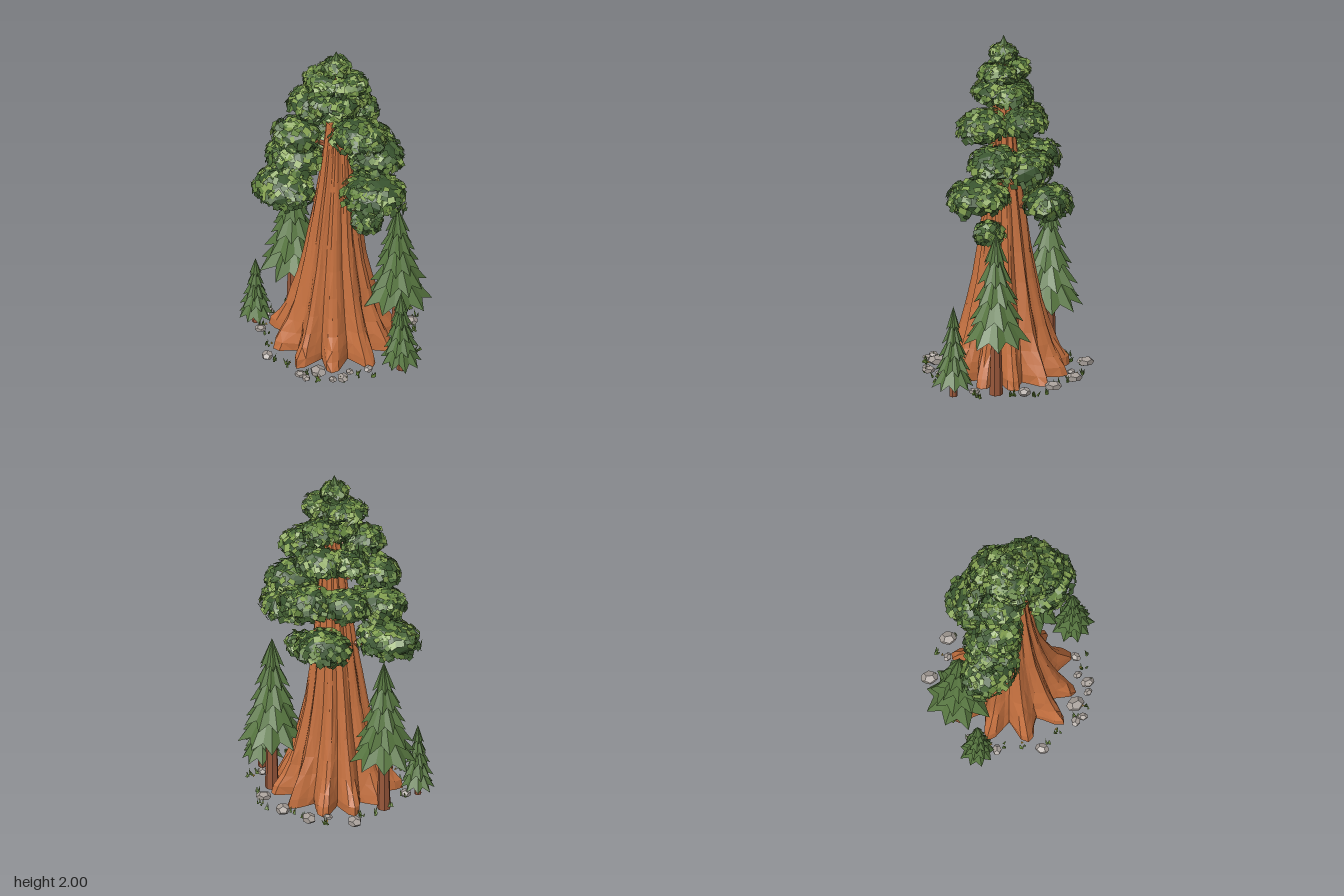
import * as THREE from 'three';
import { mergeGeometries } from 'three/addons/utils/BufferGeometryUtils.js';

// Small seeded random helper
let seed = 7;
const rnd = (a = 0, b = 1) => {
  seed = (seed * 16807) % 2147483647;
  return a + (b - a) * (seed / 2147483647);
};

const mat = (color, side = THREE.FrontSide) =>
  new THREE.MeshStandardMaterial({ color, side, flatShading: true, roughness: 1 });
const M = {
  bark: mat(0xc4703f), branch: mat(0x9a5532), under: mat(0x6e3d28),
  core: mat(0x3a5530), leafDark: mat(0x466335, THREE.DoubleSide),
  leafMid: mat(0x64843f, THREE.DoubleSide), leafLight: mat(0x86a352, THREE.DoubleSide),
  pine: mat(0x56753f, THREE.DoubleSide), pineTrunk: mat(0x98573a),
  rock: mat(0xa59d97), grass: mat(0x648238, THREE.DoubleSide), litter: mat(0xc49a35, THREE.DoubleSide),
};

function add(parent, name, geometry, material) {
  const mesh = new THREE.Mesh(geometry, material);
  mesh.name = name;
  parent.add(mesh);
  return mesh;
}

// Root flares: angle in degrees (x towards z) and reach at the ground
const ROOTS = [[28, 0.37], [66, 0.36], [97, 0.39], [131, 0.385], [166, 0.38], [198, 0.37],
  [232, 0.39], [260, 0.38], [293, 0.375], [325, 0.36], [356, 0.35]];
// Trunk profile: height, radius, groove depth (share of the radius)
const TRUNK = [[0.02, 1, 0.34], [0.07, 0.96, 0.31], [0.13, 0.86, 0.26], [0.2, 0.76, 0.22], [0.3, 0.665, 0.18],
  [0.42, 0.58, 0.16], [0.58, 0.485, 0.15], [0.75, 0.41, 0.14], [0.92, 0.35, 0.14], [1.1, 0.285, 0.13],
  [1.28, 0.235, 0.12], [1.46, 0.19, 0.12], [1.64, 0.14, 0.1], [1.8, 0.085, 0.1], [1.94, 0.02, 0]];
const trunkX = (y) => -0.012 - 0.008 * Math.sin(y * 3);

function trunk(group) {
  const STEPS = 6, n = ROOTS.length * STEPS, pos = [], idx = [];
  const rib = Array.from({ length: n }, () => rnd(0.97, 1.02));
  TRUNK.forEach(([y, s, groove]) => {
    for (let j = 0; j < n; j++) {
      const i = Math.floor(j / STEPS), t = (j % STEPS) / STEPS;
      const [a0, r0] = ROOTS[i], [a1, r1] = ROOTS[(i + 1) % ROOTS.length];
      const a = THREE.MathUtils.degToRad(a0 + ((a1 - a0 + 360) % 360) * t);
      const reach = THREE.MathUtils.lerp(0.37, r0 + (r1 - r0) * t, s);
      const valley = Math.sin(Math.PI * t) ** 2.4;
      const r = reach * s * (1 - groove * valley) * rib[j] * rnd(0.97, 1.02);
      pos.push(trunkX(y) + r * Math.cos(a), y, r * Math.sin(a));
    }
  });
  for (let k = 0; k < TRUNK.length - 1; k++) for (let j = 0; j < n; j++) {
    const a = k * n + j, b = k * n + ((j + 1) % n);
    if ((j + k) % 2) idx.push(b, a, a + n, b, a + n, b + n);
    else idx.push(b, a, b + n, a, a + n, b + n);
  }
  const g = new THREE.BufferGeometry();
  g.setAttribute('position', new THREE.Float32BufferAttribute(pos, 3));
  g.setIndex(idx);
  g.computeVertexNormals();
  add(group, 'giantTrunk', g, M.bark);

  // Star-shaped underside
  const base = new THREE.BufferGeometry(), fan = [];
  base.setAttribute('position', new THREE.Float32BufferAttribute([...pos.slice(0, n * 3), trunkX(0), 0.02, 0], 3));
  for (let j = 0; j < n; j++) fan.push(n, j, (j + 1) % n);
  base.setIndex(fan);
  base.computeVertexNormals();
  add(group, 'trunkUnderside', base, M.under);
}

// Ellipsoid core with leaf cards laid over it, sorted into three greens
function clump(group, [x, y, z, rx, ry, rz]) {
  const c = new THREE.Group();
  c.name = 'foliageClump';
  c.position.set(x, y, z);
  const core = new THREE.IcosahedronGeometry(0.9, 1).rotateY(rnd(0, 3)).scale(rx, ry, rz);
  core.computeVertexNormals();
  add(c, 'foliageCore', core, M.core);

  const sets = [[], [], []], o = new THREE.Object3D();
  const count = Math.round(80 + 4600 * rx * rz);
  for (let i = 0; i < count; i++) {
    const h = rnd(-0.5, 1), a = rnd(0, Math.PI * 2), q = Math.sqrt(1 - h * h), k = rnd(0.9, 1.03);
    const d = new THREE.Vector3(q * Math.cos(a), h, q * Math.sin(a));
    o.position.set(d.x * rx * k, d.y * ry * k, d.z * rz * k);
    // Leaves on the rim droop a little
    if (Math.abs(h) < 0.3) o.position.y -= rnd(0, 0.3) * ry;
    const nrm = new THREE.Vector3(d.x / rx, d.y / ry, d.z / rz).normalize();
    nrm.add(new THREE.Vector3(rnd(-0.5, 0.5), rnd(-0.2, 0.6), rnd(-0.5, 0.5)));
    o.lookAt(nrm.add(o.position));
    o.rotateZ(rnd(0, 3));
    o.updateMatrix();
    const leaf = new THREE.PlaneGeometry(rnd(0.024, 0.042), rnd(0.03, 0.05)).applyMatrix4(o.matrix);
    sets[h < -0.1 ? 0 : Math.floor(rnd(0, 2.99))].push(leaf);
  }
  [M.leafDark, M.leafMid, M.leafLight].forEach((m, i) => add(c, 'leaves', mergeGeometries(sets[i]), m));
  group.add(c);

  // Branch from the trunk to the clump
  const from = new THREE.Vector3(trunkX(y), y - 0.06, 0), to = new THREE.Vector3(x, y - 0.01, z);
  const len = from.distanceTo(to);
  const br = new THREE.CylinderGeometry(0.008, 0.022, len, 6).translate(0, len / 2, 0);
  const branch = add(group, 'branch', br, M.branch);
  branch.position.copy(from);
  branch.quaternion.setFromUnitVectors(new THREE.Vector3(0, 1, 0), to.sub(from).normalize());
}

// Cone with a jagged, drooping hem
function skirt(r, h, points) {
  const g = new THREE.ConeGeometry(r, h, points * 2, 1), p = g.attributes.position;
  const reach = Array.from({ length: points * 2 }, () => rnd(0.92, 1.06));
  for (let i = 0; i < p.count; i++) {
    const x = p.getX(i), z = p.getZ(i), y = p.getY(i);
    if (y > 0) continue;
    if (Math.hypot(x, z) < 1e-4) { p.setY(i, y + h * 0.3); continue; }
    const step = Math.round((Math.atan2(x, z) / Math.PI) * points + points * 2) % (points * 2);
    const k = reach[step] * (step % 2 ? 0.72 : 1);
    p.setXYZ(i, x * k, y + (step % 2 ? h * 0.16 : 0), z * k);
  }
  g.computeVertexNormals();
  return g;
}

function pine(group, x, z, bottom, top, r, tiers) {
  const t = new THREE.Group();
  t.name = 'youngPine';
  t.position.set(x, 0, z);
  const th = bottom + (top - bottom) * 0.6;
  add(t, 'pineTrunk', new THREE.CylinderGeometry(r * 0.1, r * 0.2, th, 7).translate(0, th / 2, 0), M.pineTrunk);
  const H = top - bottom, cones = [];
  for (let i = 0; i < tiers; i++) {
    const f = i / (tiers - 1), h = H * (0.42 - 0.14 * f);
    const y0 = bottom + (H - H * 0.28) * f;
    cones.push(skirt(r * (1 - 0.66 * f), h, 9).rotateY(i * 0.9).translate(0, y0 + h / 2, 0));
  }
  add(t, 'pineNeedles', mergeGeometries(cones), M.pine);
  group.add(t);
}

export function createModel() {
  seed = 7;
  const root = new THREE.Group();
  root.name = 'giantTree';
  trunk(root);

  // Foliage clumps: centre x, y, z and radii x, y, z
  [[-0.31, 0.975, 0.06, 0.185, 0.11, 0.145], [-0.25, 1.21, 0.03, 0.17, 0.095, 0.15],
    [-0.23, 1.39, 0.07, 0.14, 0.09, 0.12], [-0.17, 1.605, 0.03, 0.125, 0.075, 0.12],
    [-0.13, 1.5, -0.08, 0.11, 0.075, 0.11], [0.15, 1.5, 0.05, 0.165, 0.1, 0.135],
    [0.21, 1.325, -0.05, 0.155, 0.095, 0.145], [0.24, 1.12, 0.03, 0.19, 0.1, 0.17],
    [0.17, 0.885, 0, 0.095, 0.07, 0.08], [-0.04, 1.04, -0.26, 0.16, 0.1, 0.13],
    [0.08, 1.27, -0.2, 0.17, 0.1, 0.13], [-0.14, 1.27, -0.16, 0.13, 0.09, 0.12],
    [0.02, 1.52, -0.15, 0.14, 0.085, 0.115], [-0.01, 1.67, 0.02, 0.15, 0.07, 0.155],
    [0.03, 1.67, -0.08, 0.11, 0.07, 0.11], [-0.07, 1.785, 0, 0.135, 0.055, 0.12],
    [0.07, 1.8, 0, 0.09, 0.055, 0.11], [-0.013, 1.895, 0, 0.075, 0.05, 0.075],
  ].forEach((c) => clump(root, c));

  // Pointed crown
  const crown = add(root, 'crownTip', skirt(0.05, 0.11, 6), M.pine);
  crown.position.set(-0.015, 1.945, 0);

  // Smaller trees on both sides
  pine(root, -0.35, -0.12, 0.31, 0.93, 0.195, 5);
  pine(root, 0.312, -0.11, 0.31, 0.95, 0.195, 5);
  pine(root, -0.475, 0.09, 0.05, 0.44, 0.1, 5);
  pine(root, 0.44, 0.09, 0.06, 0.53, 0.12, 5);

  // Stones round the roots: x, z, size
  [[-0.27, -0.38, 0.045], [-0.02, -0.43, 0.045], [0.15, -0.385, 0.045], [0.3, -0.28, 0.04], [-0.11, -0.37, 0.025],
    [0.3, 0.21, 0.028], [0.22, 0.28, 0.024], [0.215, 0.35, 0.036], [0.17, 0.385, 0.024], [0.07, 0.37, 0.048],
    [-0.01, 0.43, 0.03], [0.035, 0.445, 0.026], [-0.25, 0.37, 0.036], [-0.43, 0.02, 0.035], [0.4, -0.02, 0.03],
    [-0.4, 0.17, 0.03]].forEach(([x, z, s]) => {
    const rock = add(root, 'stone', new THREE.DodecahedronGeometry(s), M.rock);
    rock.position.set(x, 0.02 + s * 0.4, z);
    rock.scale.set(1.1, 0.62, 0.9);
    rock.rotation.y = rnd(0, 6);
  });

  // Grass tufts and dry litter in a ring
  const grass = [], litter = [];
  for (let i = 0; i < 24; i++) {
    const a = i * 0.262 + rnd(-0.1, 0.1), r = rnd(0.39, 0.46);
    const x = r * Math.cos(a), z = r * Math.sin(a);
    for (let k = 0; k < 4; k++) {
      const h = rnd(0.025, 0.05);
      grass.push(new THREE.ConeGeometry(0.008, h, 3).translate(0, h / 2, 0).rotateX(rnd(-0.5, 0.5))
        .rotateZ(rnd(-0.5, 0.5)).translate(x + rnd(-0.015, 0.015), 0.02, z + rnd(-0.015, 0.015)));
    }
    if (i % 2) litter.push(new THREE.ConeGeometry(0.01, 0.012, 3).rotateZ(rnd(0, 3)).translate(x * 0.95, 0.028, z * 0.95));
  }
  add(root, 'grassTufts', mergeGeometries(grass), M.grass);
  add(root, 'dryLitter', mergeGeometries(litter), M.litter);
  return root;
}
